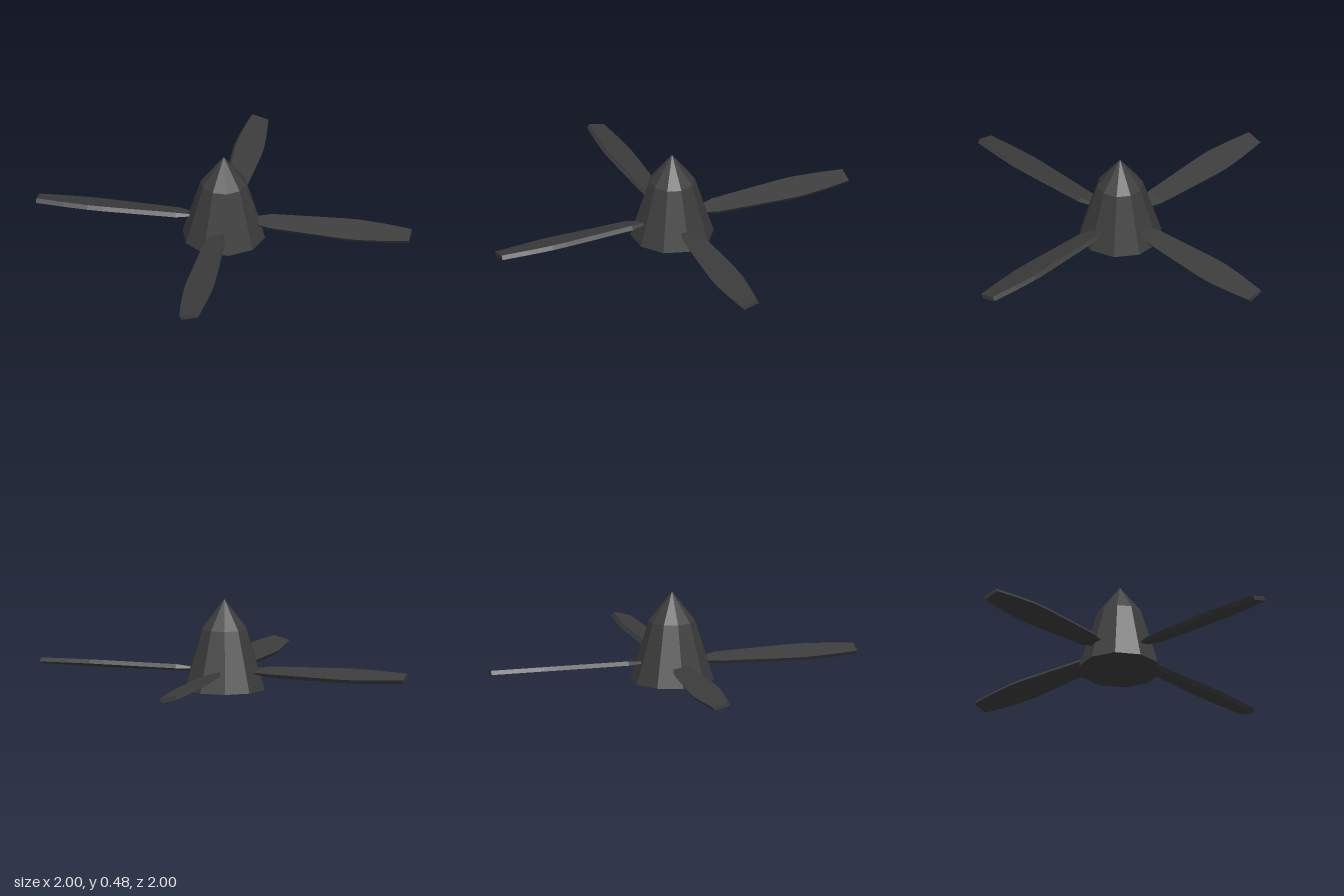
import * as THREE from 'three';

const material = new THREE.MeshStandardMaterial({ color: 0x3c3c3c, flatShading: true });

// Blade along +z, lofted through pitched, slant-edged sections: [radius, half width, half thickness]
function bladeGeometry() {
  const sections = [
    [0.15, 0.028, 0.006], [0.19, 0.037, 0.007], [0.25, 0.056, 0.012], [0.45, 0.067, 0.012],
    [0.64, 0.077, 0.012], [0.72, 0.078, 0.012], [0.85, 0.068, 0.012], [1, 0.05, 0.012],
  ];
  const pitch = 0.27;
  const positions = [];
  const index = [];
  for (const [r, w, t] of sections) {
    const slant = t * 1.2;
    const corners = [[-w + slant, -t], [w, -t], [w - slant, t], [-w, t]];
    for (const [x, y] of corners) positions.push(x, y + x * pitch, r);
  }
  for (let k = 0; k < sections.length - 1; k++) {
    for (let i = 0; i < 4; i++) {
      const a = k * 4 + i, b = k * 4 + (i + 1) % 4;
      index.push(a, b, b + 4, a, b + 4, a + 4);
    }
  }
  // Root and tip caps
  const e = (sections.length - 1) * 4;
  index.push(0, 2, 1, 0, 3, 2, e, e + 1, e + 2, e, e + 2, e + 3);
  const geometry = new THREE.BufferGeometry();
  geometry.setAttribute('position', new THREE.Float32BufferAttribute(positions, 3));
  geometry.setIndex(index);
  geometry.computeVertexNormals();
  return geometry;
}

export function createModel() {
  const model = new THREE.Group();
  model.name = 'propeller';

  // Ten-sided spinner with a closed base
  const profile = [[0, 0], [0.221, 0], [0.122, 0.32], [0, 0.477]].map(([x, y]) => new THREE.Vector2(x, y));
  const spinner = new THREE.Mesh(new THREE.LatheGeometry(profile, 10, Math.PI / 2), material);
  spinner.name = 'spinner';
  model.add(spinner);

  // Four blades around the hub
  const geometry = bladeGeometry();
  for (let i = 0; i < 4; i++) {
    const blade = new THREE.Mesh(geometry, material);
    blade.name = `blade${i + 1}`;
    blade.position.set(0, 0.1, i % 2 ? -0.006 : 0);
    blade.rotation.y = i * Math.PI / 2;
    model.add(blade);
  }
  return model;
}
